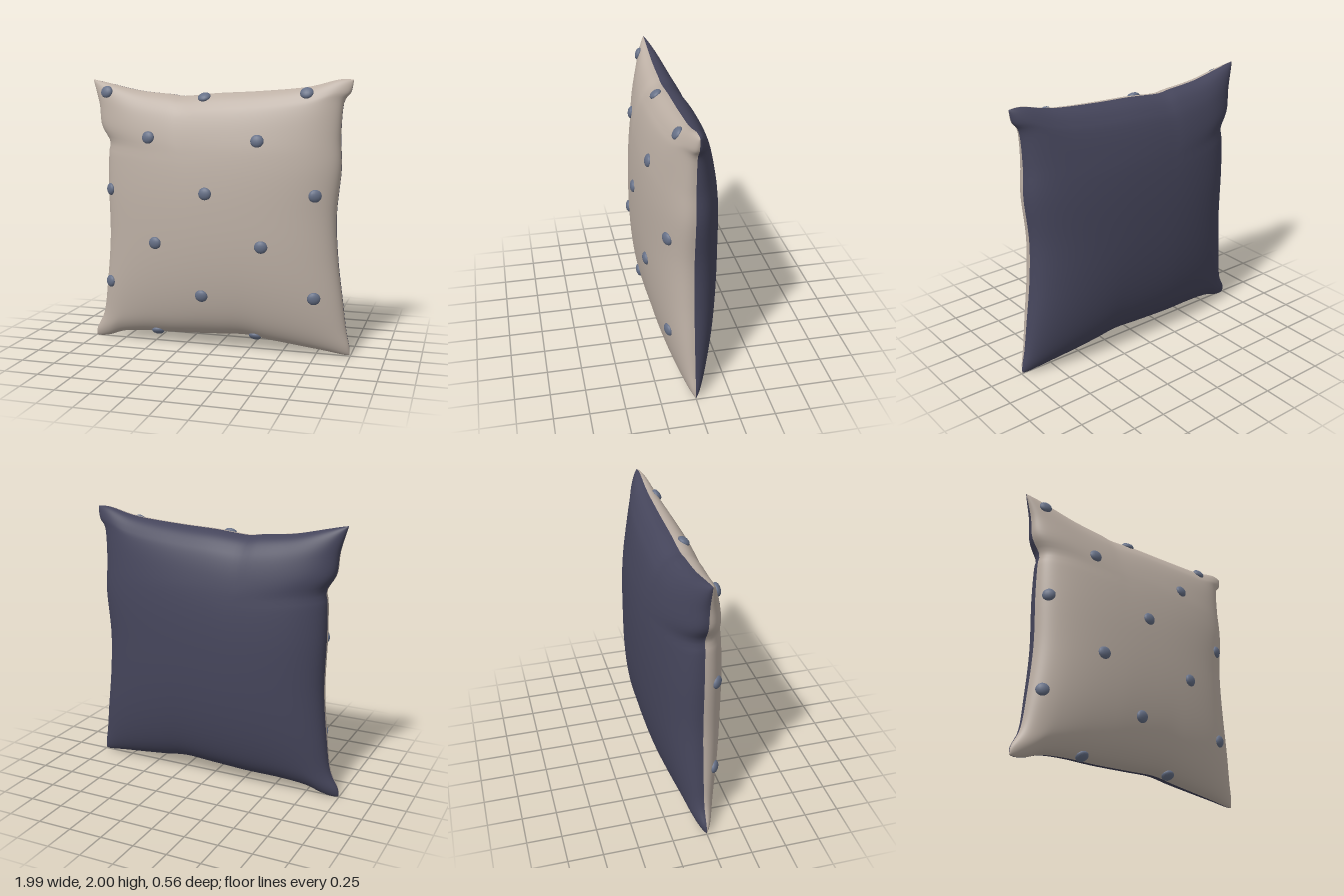
import * as THREE from 'three';

const curve = (pts) => new THREE.SplineCurve(pts.map(([x, y]) => new THREE.Vector2(x, y)));

// Wavy seam outline: four edges that share their corners
const BL = [-0.995, 0.008], BR = [0.995, 0.012], TL = [-0.983, 1.997], TR = [0.983, 1.997];
const bottom = curve([BL, [-0.95, 0.004], [-0.87, 0.02], [-0.75, 0.06], [-0.55, 0.08], [-0.3, 0.085], [0, 0.1], [0.22, 0.11], [0.4, 0.085], [0.6, 0.06], [0.8, 0.035], [0.95, 0.012], BR]);
const top = curve([TL, [-0.92, 1.985], [-0.83, 1.965], [-0.6, 1.915], [-0.35, 1.89], [-0.25, 1.878], [0, 1.9], [0.3, 1.915], [0.65, 1.945], [0.88, 1.998], TR]);
const left = curve([BL, [-0.988, 0.07], [-0.925, 0.2], [-0.893, 0.4], [-0.855, 0.8], [-0.86, 1.2], [-0.855, 1.45], [-0.845, 1.54], [-0.912, 1.66], [-0.932, 1.82], TL]);
const right = curve([BR, [0.99, 0.08], [0.965, 0.2], [0.935, 0.42], [0.895, 0.73], [0.88, 1.04], [0.908, 1.37], [0.9, 1.6], [0.915, 1.83], [0.965, 1.91], TR]);

// Blend of the four edges over the unit square
function outlinePoint(u, v) {
  const b = bottom.getPointAt(u), t = top.getPointAt(u), l = left.getPointAt(v), r = right.getPointAt(v);
  const mix = (k, i) => (1 - v) * b[k] + v * t[k] + (1 - u) * l[k] + u * r[k]
    - ((1 - u) * (1 - v) * BL[i] + u * (1 - v) * BR[i] + (1 - u) * v * TL[i] + u * v * TR[i]);
  return [mix('x', 0), mix('y', 1)];
}

// Stuffing profile: flat in the middle, steep at the seam
const rise = (s) => Math.pow(Math.max(0, 1 - Math.pow(Math.abs(s), 2.2)), 0.42);

// One half of the cushion; side is +1 for front, -1 for back
function shell(side, depth) {
  const geo = new THREE.PlaneGeometry(2, 2, 72, 72);
  const p = geo.attributes.position;
  for (let i = 0; i < p.count; i++) {
    const s = side * Math.sin(p.getX(i) * Math.PI / 2);
    const t = Math.sin(p.getY(i) * Math.PI / 2);
    const [x, y] = outlinePoint((s + 1) / 2, (t + 1) / 2);
    p.setXYZ(i, x, y, side * depth * rise(s) * rise(t));
  }
  geo.computeVertexNormals();
  return geo;
}

export function createModel() {
  const group = new THREE.Group();
  const linen = new THREE.MeshStandardMaterial({ name: 'beige linen', color: 0xbdb0a5 });
  const navy = new THREE.MeshStandardMaterial({ name: 'navy cloth', color: 0x45455b });
  const slate = new THREE.MeshStandardMaterial({ name: 'slate blue', color: 0x667087 });

  const add = (name, geo, mat) => {
    const mesh = new THREE.Mesh(geo, mat);
    mesh.name = name;
    group.add(mesh);
    return mesh;
  };

  const front = shell(1, 0.257);
  add('frontCover', front, linen);
  add('backCover', shell(-1, 0.283), navy);

  // Raised dots in staggered rows, seated along the front surface normal
  const dots = [
    [-0.85, 1.905], [-0.1, 1.872], [0.665, 1.905],
    [-0.48, 1.58], [0.34, 1.57],
    [-0.815, 1.18], [-0.03, 1.19], [0.75, 1.19],
    [-0.42, 0.81], [0.38, 0.82],
    [-0.83, 0.47], [-0.07, 0.43], [0.75, 0.45],
    [-0.48, 0.1], [0.3, 0.1],
  ];
  const dotGeo = new THREE.SphereGeometry(0.048, 16, 10);
  const pos = front.attributes.position, nor = front.attributes.normal;
  const zAxis = new THREE.Vector3(0, 0, 1);
  dots.forEach(([x, y], n) => {
    let best = 0, bestD = Infinity;
    for (let i = 0; i < pos.count; i++) {
      if (pos.getZ(i) < 0.055) continue;
      const d = (pos.getX(i) - x) ** 2 + (pos.getY(i) - y) ** 2;
      if (d < bestD) { bestD = d; best = i; }
    }
    const normal = new THREE.Vector3().fromBufferAttribute(nor, best);
    const point = new THREE.Vector3().fromBufferAttribute(pos, best);
    // Slide from the nearest grid point to the exact spot on the tangent plane
    const dx = x - point.x, dy = y - point.y;
    if (normal.z > 0.6) point.add(new THREE.Vector3(dx, dy, -(normal.x * dx + normal.y * dy) / normal.z));
    const dot = add('dot' + (n + 1), dotGeo, slate);
    dot.position.copy(point);
    dot.quaternion.setFromUnitVectors(zAxis, normal);
    dot.scale.set(1, 0.95, 0.52);
  });

  return group;
}
